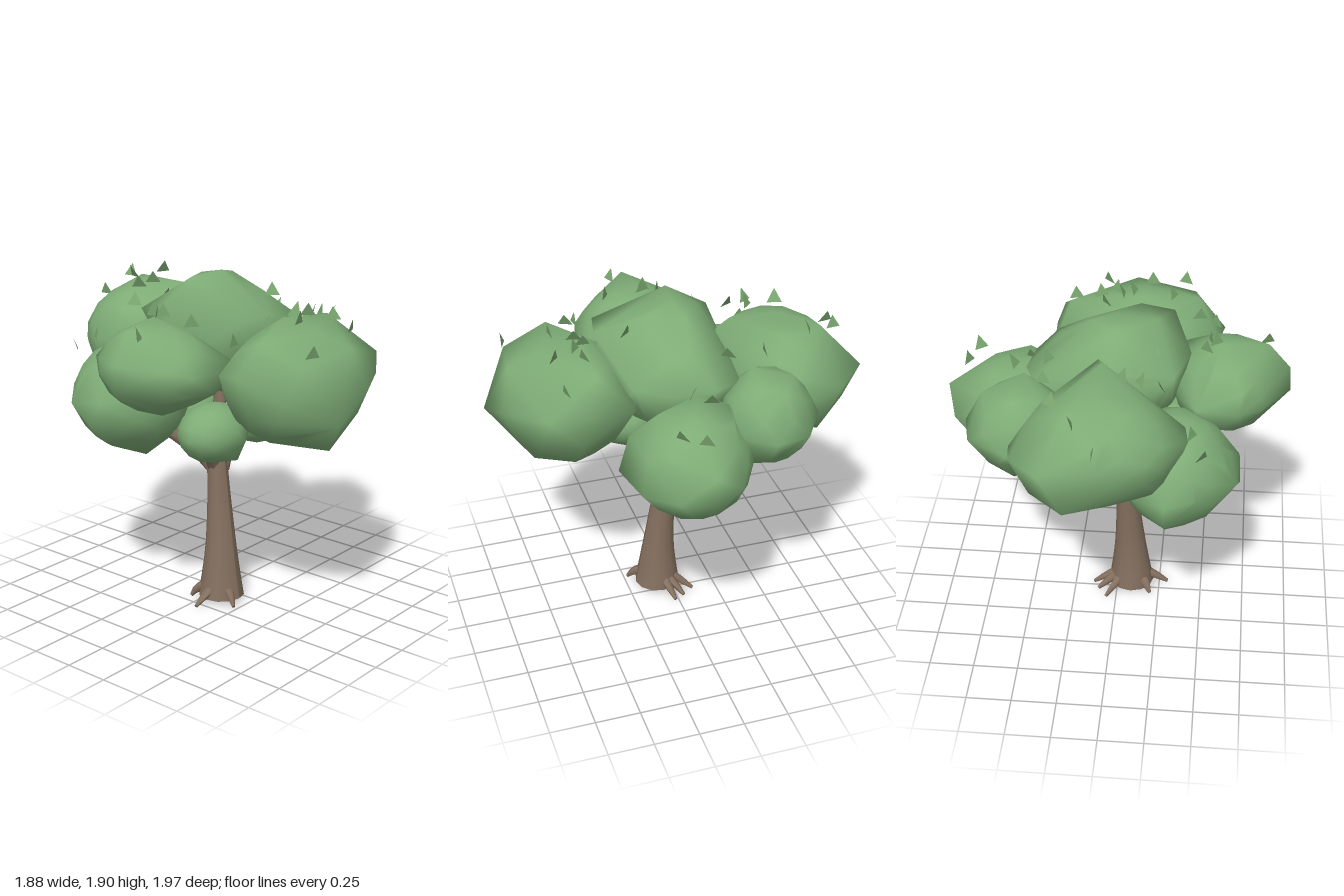
import * as THREE from 'three';
import { mergeVertices } from 'three/addons/utils/BufferGeometryUtils.js';
import { ConvexGeometry } from 'three/addons/geometries/ConvexGeometry.js';

const V = (a) => new THREE.Vector3(...a);

// Small seeded generator for the scattered leaves
function seeded(seed) {
  let s = seed * 7919 + 17;
  return () => (s = (s * 16807) % 2147483647) / 2147483647;
}

// Tapered tube through centre points; radii are spread along the path
function limb(points, radii, sides, rings, level = false) {
  const curve = new THREE.CatmullRomCurve3(points.map(V));
  const geo = new THREE.CylinderGeometry(1, 1, 1, sides, rings);
  const pos = geo.attributes.position;
  const up = new THREE.Vector3(0, 1, 0);
  const dir = level ? up : V(points[points.length - 1]).sub(V(points[0])).normalize();
  const turn = new THREE.Quaternion().setFromUnitVectors(up, dir);
  for (let i = 0; i < pos.count; i++) {
    const t = THREE.MathUtils.clamp(pos.getY(i) + 0.5, 0, 1);
    const k = t * (radii.length - 1);
    const j = Math.min(Math.floor(k), radii.length - 2);
    const r = THREE.MathUtils.lerp(radii[j], radii[j + 1], k - j);
    const p = new THREE.Vector3(pos.getX(i) * r, 0, pos.getZ(i) * r)
      .applyQuaternion(turn).add(curve.getPoint(t));
    pos.setXYZ(i, p.x, p.y, p.z);
  }
  geo.computeVertexNormals();
  return geo;
}

// Chunky smooth-shaded hull around an ellipsoid and a few outer corners
function clump({ c, r, corners }) {
  const ball = new THREE.IcosahedronGeometry(0.91, 2).attributes.position;
  const points = corners.map(V);
  for (let i = 0; i < ball.count; i++) {
    points.push(new THREE.Vector3().fromBufferAttribute(ball, i).multiply(V(r)).add(V(c)));
  }
  let geo = new ConvexGeometry(points);
  geo.deleteAttribute('normal');
  geo = mergeVertices(geo, 1e-3);
  geo.computeVertexNormals();
  return geo;
}

// Crown clumps: centre, radii, outer corners
const crown = {
  frontFoliage: { c: [-0.09, 1.38, 0.58], r: [0.45, 0.35, 0.4], corners: [
    [-0.57, 1.51, 0.56], [0.39, 1.5, 0.55], [0, 1, 0.56], [-0.1, 1.73, 0.5], [-0.28, 1.27, 1], [0.03, 1.4, 0.96],
    [0.37, 1.5, 0.78], [0.38, 1.5, 0.32], [-0.39, 1.57, 0.85], [0.3, 1.68, 0.5], [-0.42, 1.67, 0.6], [0.22, 1.15, 0.6],
    [-0.42, 1.22, 0.6], [-0.05, 1.62, 0.9], [-0.05, 1.04, 0.78], [0.16, 1.45, 0.92], [-0.54, 1.5, 0.43]] },
  leftFoliage: { c: [0.56, 1.25, 0.07], r: [0.35, 0.33, 0.35], corners: [
    [0.94, 1.37, 0.06], [0.93, 1.25, 0.26], [0.73, 1.2, 0.39], [0.38, 1.15, 0.42], [0.45, 1.58, 0], [0.72, 1.48, 0.05],
    [0.525, 0.92, 0], [0.755, 1.02, 0.05], [0.74, 1.3, -0.18], [0.89, 1.25, -0.09], [0.55, 1.3, -0.28], [0.5, 1.53, 0.24],
    [0.45, 1.05, 0.3], [0.55, 1.04, -0.155], [0.45, 1.4, 0.38], [0.5, 1.51, -0.17], [0.9, 1.17, 0.05]] },
  topFoliage: { c: [0.03, 1.52, 0.03], r: [0.43, 0.33, 0.37], corners: [
    [-0.22, 1.89, -0.03], [0.13, 1.87, -0.03], [0, 1.9, 0], [0, 1.87, -0.14], [0.31, 1.74, 0], [0.48, 1.6, -0.09],
    [0.45, 1.58, 0.13], [-0.4, 1.74, -0.1], [-0.1, 1.73, 0.41], [-0.29, 1.72, 0.37], [0.35, 1.6, 0.32], [0, 1.84, 0.14],
    [0.42, 1.6, -0.24], [-0.32, 1.7, -0.3]] },
  backFoliage: { c: [0.05, 1.46, -0.57], r: [0.44, 0.33, 0.38], corners: [
    [0.32, 1.53, -0.97], [0.2, 1.27, -0.93], [0.03, 1.53, -0.935], [-0.21, 1.5, -0.77], [-0.41, 1.5, -0.57],
    [0.48, 1.5, -0.8], [0.51, 1.45, -0.6], [0.05, 1.77, -0.6], [0.2, 1.74, -0.77], [0.05, 1.12, -0.5],
    [0.05, 1.78, -0.3], [0.08, 1.75, -0.22], [0.1, 1.19, -0.78], [-0.39, 1.5, -0.44], [-0.3, 1.2, -0.6], [0.4, 1.22, -0.7]] },
  rightFoliage: { c: [-0.58, 1.48, 0.04], r: [0.31, 0.26, 0.36], corners: [
    [-0.94, 1.42, 0.08], [-0.93, 1.57, 0.07], [-0.69, 1.5, -0.2], [-0.66, 1.5, -0.32], [-0.44, 1.55, -0.36],
    [-0.81, 1.72, 0.05], [-0.55, 1.74, 0], [-0.68, 1.5, 0.37], [-0.55, 1.4, 0.415], [-0.84, 1.5, 0.21],
    [-0.34, 1.5, 0.41], [-0.55, 1.21, 0.05], [-0.74, 1.3, 0.05], [-0.79, 1.45, -0.17]] },
  backRightFoliage: { c: [-0.34, 1.2, -0.37], r: [0.34, 0.34, 0.37], corners: [
    [-0.68, 1.24, -0.29], [-0.67, 1.2, -0.51], [-0.47, 1.2, -0.675], [-0.3, 1.2, -0.755], [-0.62, 1, -0.3],
    [-0.69, 1.1, -0.35], [-0.28, 0.84, -0.32], [-0.3, 0.89, -0.53], [-0.3, 1.07, -0.74]] },
  backLeftFoliage: { c: [0.48, 1.41, -0.37], r: [0.29, 0.28, 0.27], corners: [
    [0.46, 1.69, -0.29], [0.67, 1.63, -0.4], [0.78, 1.4, -0.32], [0.74, 1.4, -0.51], [0.52, 1.4, -0.65],
    [0.5, 1.64, -0.5], [0.635, 1.4, -0.13], [0.5, 1.14, -0.25], [0.5, 1.19, -0.525], [0.5, 1.34, -0.62], [0.72, 1.5, -0.42]] },
  lowRightFoliage: { c: [-0.29, 1.08, 0.18], r: [0.23, 0.18, 0.2], corners: [
    [-0.51, 1.08, 0.2], [-0.42, 0.96, 0.2], [-0.2, 0.9, 0.15], [-0.25, 1.05, 0.37], [-0.25, 0.94, 0.32]] },
  lowBackFoliage: { c: [0.07, 1.05, -0.28], r: [0.19, 0.17, 0.19], corners: [
    [0.07, 0.89, -0.24], [0.07, 1.1, -0.47], [0.25, 1.08, -0.3], [0.1, 0.98, -0.43]] },
  lowLeftFoliage: { c: [0.18, 1.05, 0.11], r: [0.2, 0.17, 0.2], corners: [
    [0.38, 1.08, 0.1], [0.36, 0.91, 0.1], [0.2, 0.875, 0.1], [0.05, 0.94, 0.12], [0.3, 1.02, -0.07]] },
};

// Loose leaf positions on each clump, as x and z
const leaves = {
  frontFoliage: [[-0.28, 0.52], [-0.15, 0.64], [-0.06, 0.53], [0, 0.5], [0.05, 0.55], [0.1, 0.68], [0.13, 0.52], [0.29, 0.66], [-0.33, 0.86], [-0.43, 0.44]],
  leftFoliage: [[0.54, -0.04], [0.82, 0.08], [0.77, 0.19], [0.46, 0.05]],
  topFoliage: [[0.08, 0.29], [-0.22, -0.22], [0.34, -0.2]],
  backFoliage: [[0.05, -0.92], [0.15, -0.82], [0.28, -0.68], [-0.04, -0.6], [-0.15, -0.47], [-0.06, -0.45], [0.35, -0.4], [-0.27, -0.4]],
  rightFoliage: [[-0.5, 0.02], [-0.52, 0.23], [-0.8, 0.13], [-0.53, 0], [-0.48, -0.06], [-0.35, -0.1]],
  backRightFoliage: [[-0.48, -0.64], [-0.43, -0.55]],
};

// One small upright triangle per leaf position
function looseLeaves() {
  const rand = seeded(91);
  const verts = [];
  for (const [name, spots] of Object.entries(leaves)) {
    const { c, r } = crown[name];
    for (const [x, z] of spots) {
      const q = Math.abs((x - c[0]) / r[0]) ** 2.5 + Math.abs((z - c[2]) / r[2]) ** 2.5;
      const y = c[1] + r[1] * Math.pow(Math.max(0, 1 - q), 0.4);
      const a = rand() * Math.PI, dx = Math.cos(a) * 0.042, dz = Math.sin(a) * 0.042;
      const lean = (rand() - 0.5) * 2;
      verts.push(x - dx, y, z - dz, x + dx, y, z + dz, x - dz * lean, y + 0.07, z + dx * lean);
    }
  }
  const geo = new THREE.BufferGeometry();
  geo.setAttribute('position', new THREE.Float32BufferAttribute(verts, 3));
  geo.computeVertexNormals();
  return geo;
}

export function createModel() {
  const tree = new THREE.Group();
  const bark = new THREE.MeshStandardMaterial({ name: 'bark brown', color: 0x84705f });
  const leafGreen = new THREE.MeshStandardMaterial({ name: 'leaf green', color: 0x7eac76 });
  const bladeGreen = new THREE.MeshStandardMaterial({ name: 'loose leaf green', color: 0x7aa870, side: THREE.DoubleSide });
  const add = (name, geo, mat) => {
    const mesh = new THREE.Mesh(geo, mat);
    mesh.name = name;
    tree.add(mesh);
  };

  // Leaning, flared trunk
  add('trunk', limb([[-0.083, 0.025, 0.068], [-0.075, 0.3, 0.06], [-0.062, 0.6, 0.035], [-0.055, 0.88, 0.01]],
    [0.132, 0.106, 0.086, 0.072, 0.062, 0.056], 12, 8, true), bark);

  // Branches rising into the crown
  const forks = [
    [[-0.04, 0.76, 0.01], [0.07, 0.88, 0.0], [0.24, 1.02, 0.02]],
    [[-0.06, 0.78, 0.01], [-0.15, 0.9, 0.03], [-0.3, 1.05, 0.1]],
    [[-0.02, 0.77, 0.02], [0.0, 0.9, 0.05], [0.02, 1.1, 0.18]],
    [[-0.05, 0.76, 0.0], [-0.02, 0.88, -0.1], [0.06, 1.02, -0.25]],
    [[-0.06, 0.77, 0.0], [-0.13, 0.89, -0.09], [-0.28, 1.05, -0.26]],
    [[-0.055, 0.8, 0.01], [-0.03, 1.0, 0.0], [0.0, 1.3, 0.0]],
    [[0.06, 1.0, -0.28], [0.18, 1.05, -0.31], [0.28, 1.1, -0.36]],
  ];
  forks.forEach((path, i) => add('branch' + (i + 1),
    limb(path, i === 6 ? [0.026, 0.018] : [0.048, 0.04, 0.034], 7, 4), bark));

  // Roots spreading from the foot
  const roots = [[-0.3, 0.06], [-0.17, 0.23], [0.14, 0.02], [0.11, -0.04], [0.06, -0.11], [-0.2, -0.06]];
  roots.forEach(([x, z], i) => {
    const dx = x + 0.08, dz = z - 0.07, d = Math.hypot(dx, dz);
    const at = (s, y) => [-0.08 + dx / d * s, y, 0.07 + dz / d * s];
    add('root' + (i + 1), limb([at(0.08, 0.085), at(0.145, 0.055), at(d, 0.013)], [0.03, 0.024, 0.01], 6, 3), bark);
  });

  for (const [name, spec] of Object.entries(crown)) add(name, clump(spec), leafGreen);
  add('looseLeaves', looseLeaves(), bladeGreen);

  return tree;
}
